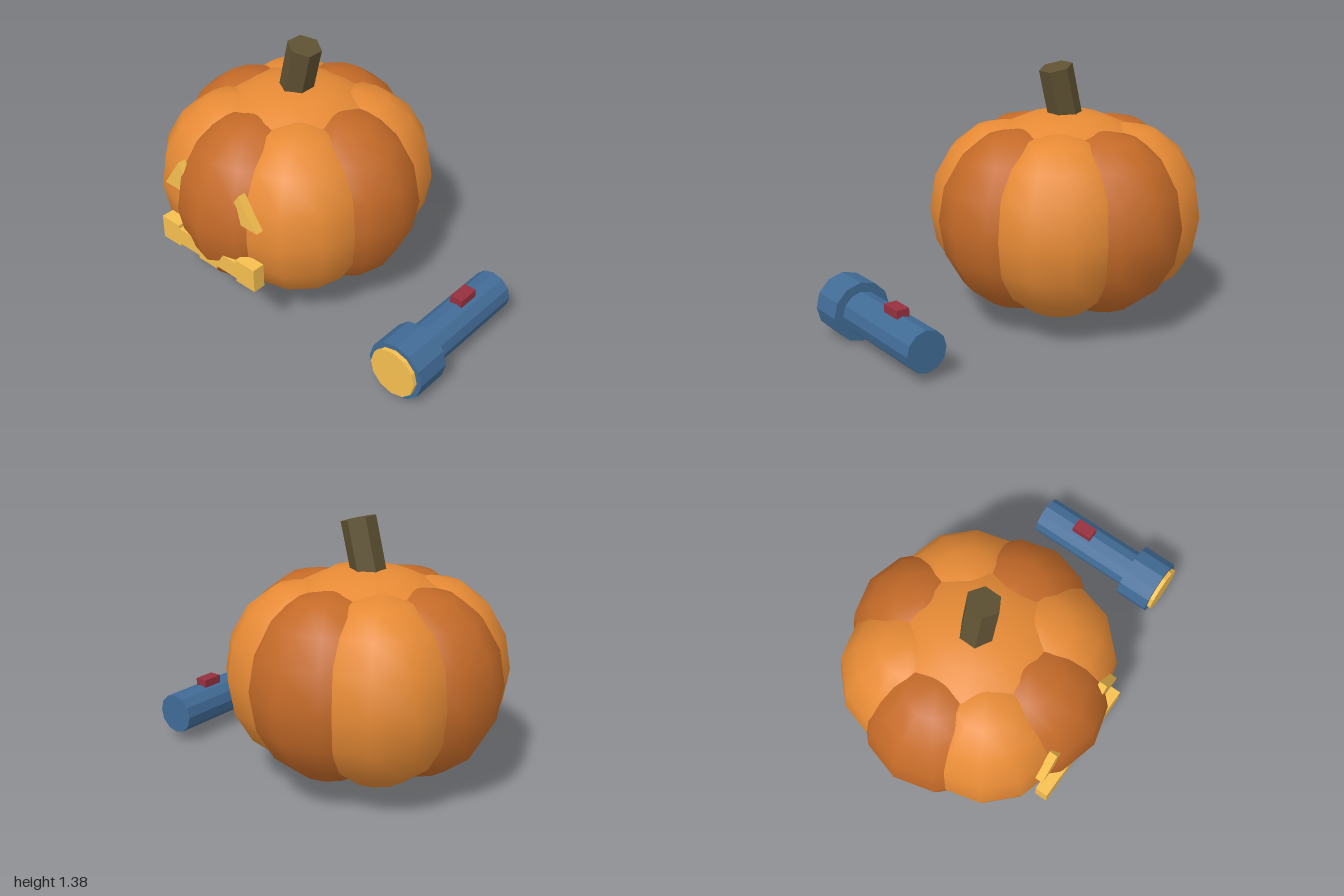
import * as THREE from 'three';

const mat = (color, flatShading = false) => new THREE.MeshStandardMaterial({ color, flatShading });

function add(parent, name, geometry, material, x, y, z) {
  const mesh = new THREE.Mesh(geometry, material);
  mesh.name = name;
  mesh.position.set(x, y, z);
  parent.add(mesh);
  return mesh;
}

export function createModel() {
  const model = new THREE.Group();
  const lightOrange = mat(0xe68a35);
  const darkOrange = mat(0xc46a28);
  const glow = mat(0xf5bf50, true);
  const blue = mat(0x416b96, true);

  // Pumpkin: a flattened core ringed by eight overlapping lobes
  const pumpkin = new THREE.Group();
  pumpkin.name = 'pumpkin';
  pumpkin.position.set(-0.262, 0.5875, 0);
  model.add(pumpkin);

  const core = new THREE.SphereGeometry(1, 14, 10).scale(0.645, 0.54, 0.645);
  add(pumpkin, 'core', core, lightOrange, 0, 0, 0);

  const lobe = new THREE.SphereGeometry(1, 12, 8).scale(0.415, 0.481, 0.415);
  for (let i = 0; i < 8; i++) {
    const a = (i * Math.PI) / 4;
    add(pumpkin, 'lobe', lobe, i % 2 ? lightOrange : darkOrange, 0.32 * Math.cos(a), 0, 0.32 * Math.sin(a));
  }

  // Leaning six-sided stem
  const stem = add(pumpkin, 'stem', new THREE.CylinderGeometry(0.09, 0.09, 0.32, 6), mat(0x5f5233, true), 0.03, 0.62, 0);
  stem.rotation.z = -0.25;

  // Triangular eyes
  const triangle = new THREE.Shape([
    new THREE.Vector2(-0.118, 0),
    new THREE.Vector2(0.118, 0),
    new THREE.Vector2(0, 0.17),
  ]);
  const eye = new THREE.ExtrudeGeometry(triangle, { depth: 0.045, bevelEnabled: false });
  for (const side of [-1, 1]) add(pumpkin, 'eye', eye, glow, side * 0.218, 0.0895, 0.595);

  // Mouth: a bar with three taller blocks
  const block = new THREE.BoxGeometry(0.13, 0.135, 0.07);
  for (const x of [-0.277, 0, 0.277]) add(pumpkin, 'mouthBlock', block, glow, x, -0.18, 0.645);
  const bar = new THREE.BoxGeometry(0.147, 0.098, 0.07);
  for (const x of [-0.1385, 0.1385]) add(pumpkin, 'mouthBar', bar, glow, x, -0.181, 0.645);

  // Flashlight lying along z, built from coaxial twelve-sided tubes
  const flashlight = new THREE.Group();
  flashlight.name = 'flashlight';
  flashlight.position.set(0.84, 0.16, 0);
  model.add(flashlight);
  const tube = (name, radius, z0, z1, material) =>
    add(flashlight, name, new THREE.CylinderGeometry(radius, radius, z1 - z0, 12).rotateX(Math.PI / 2), material, 0, 0, (z0 + z1) / 2);
  tube('handle', 0.11, -0.32, 0.3, blue);
  tube('head', 0.16, 0.295, 0.49, blue);
  tube('lens', 0.133, 0.47, 0.513, glow);
  add(flashlight, 'switch', new THREE.BoxGeometry(0.07, 0.05, 0.12), mat(0x96303f, true), -0.002, 0.12, -0.05);

  return model;
}
